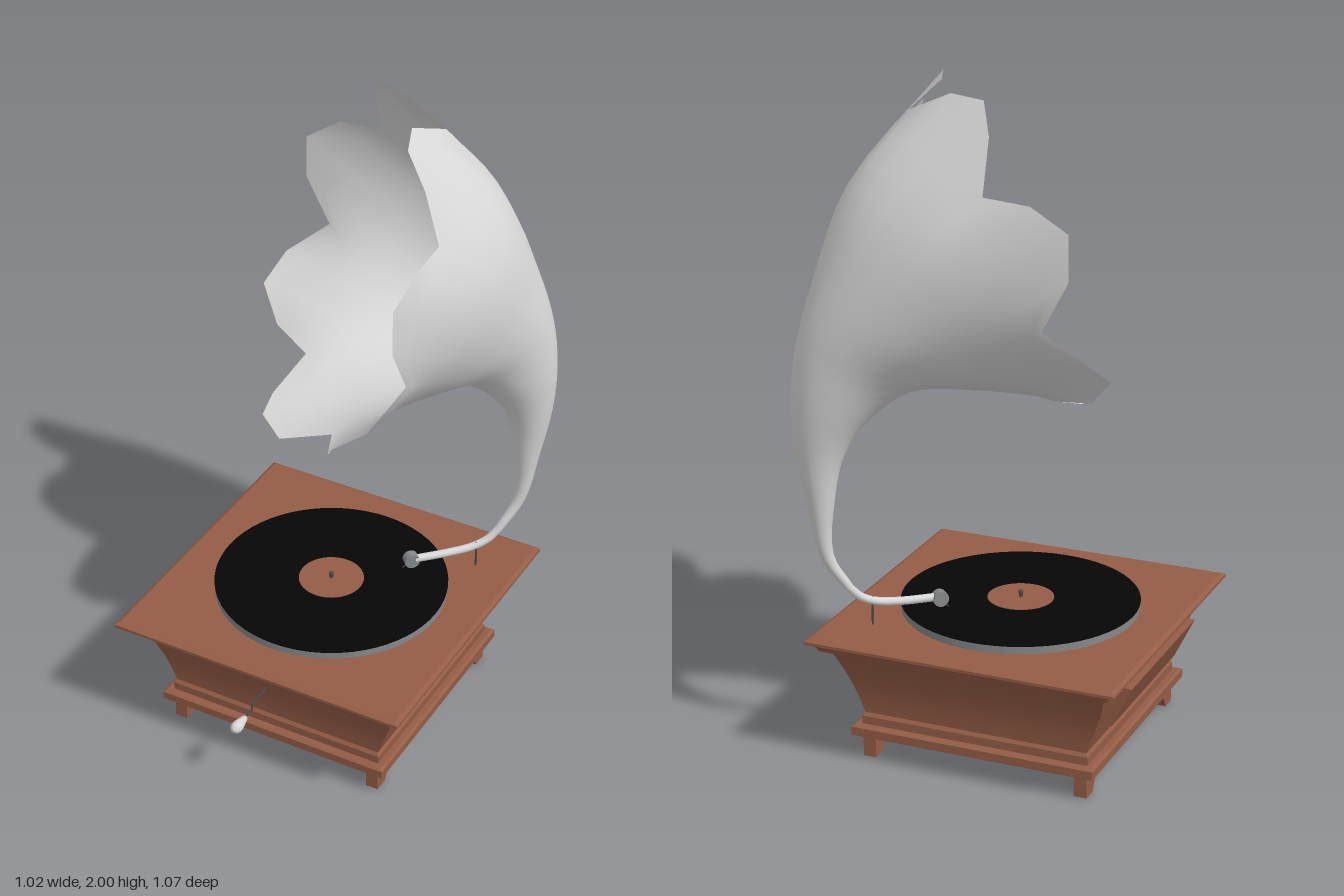
import * as THREE from 'three';
import { toCreasedNormals } from 'three/addons/utils/BufferGeometryUtils.js';

const paint = (name, color, side = THREE.FrontSide) => {
  const m = new THREE.MeshStandardMaterial({ color, side });
  m.name = name;
  return m;
};
const V = (x, y, z) => new THREE.Vector3(x, y, z);

// Skin over rings of equal point count, ordered counter-clockwise seen from above
function loft(rings, capped) {
  const n = rings[0].length, top = (rings.length - 1) * n, index = [];
  for (let i = 0; i < rings.length - 1; i++) {
    for (let j = 0; j < n; j++) {
      const a = i * n + j, b = i * n + (j + 1) % n;
      index.push(a, b, b + n, a, b + n, a + n);
    }
  }
  if (capped) {
    for (let j = 1; j < n - 1; j++) index.push(top, top + j, top + j + 1, 0, j + 1, j);
  }
  const g = new THREE.BufferGeometry().setFromPoints(rings.flat());
  g.setIndex(index);
  g.computeVertexNormals();
  return g;
}

// Rectangular moulding from a profile of [y, half width, half depth]
const CX = -0.03, CZ = -0.035;
function moulding(profile) {
  const corners = [[1, 1], [1, -1], [-1, -1], [-1, 1]];
  const rings = profile.map(([y, hx, hz = hx]) =>
    corners.map(([sx, sz]) => V(CX + sx * hx, y, CZ + sz * hz)));
  return toCreasedNormals(loft(rings, true), 0.5);
}

function prism(points, depth) {
  const shape = new THREE.Shape(points.map(([x, y]) => new THREE.Vector2(x, y)));
  return new THREE.ExtrudeGeometry(shape, { depth, bevelEnabled: false });
}

// Horn flare: u runs along the horn's diagonal, t across it
const hornPoint = (u, y, t) => V(0.41 + 0.707 * (t - u), y, -0.43 + 0.707 * (t + u));

function hornGeometry() {
  const N = 28, STEPS = 32;
  // back u, back y, inner u, inner y, half width, sideways shift
  const sections = [
    [0.053, 0.523, 0.075, 0.537, 0.013, 0],
    [-0.018, 0.63, 0.017, 0.645, 0.018, 0],
    [-0.055, 0.79, 0.024, 0.82, 0.041, 0],
    [-0.088, 0.97, 0.053, 0.95, 0.071, 0],
    [-0.095, 1.13, 0.115, 1.045, 0.108, -0.005],
    [-0.077, 1.28, 0.25, 1.13, 0.158, -0.012],
    [-0.02, 1.47, 0.42, 1.12, 0.245, -0.025],
    [0.1, 1.74, 0.59, 1.085, 0.36, -0.035],
  ];
  // One half of the petalled lip, from the top notch to the lowest petal
  const lip = [
    [0.21, 1.94, -0.26], [0.075, 2, -0.28], [-0.045, 2, -0.33], [-0.095, 1.92, -0.41],
    [-0.095, 1.765, -0.455], [-0.235, 1.755, -0.46], [-0.34, 1.685, -0.445], [-0.34, 1.55, -0.445],
    [-0.265, 1.405, -0.45], [-0.385, 1.305, -0.395], [-0.41, 1.235, -0.3], [-0.33, 1.145, -0.24],
    [-0.197, 1.115, -0.18], [-0.22, 1.06, -0.02], [-0.19, 1.06, 0.09],
  ];
  const lines = [];
  for (let k = 0; k < N; k++) {
    const a = (2 * Math.PI * k) / N;
    const pts = sections.map(([bu, by, iu, iy, w, shift]) => hornPoint(
      (bu + iu) / 2 + (bu - iu) / 2 * Math.cos(a),
      (by + iy) / 2 + (by - iy) / 2 * Math.cos(a),
      shift - w * Math.sin(a)));
    const [x, y, z] = lip[k <= 14 ? k : N - k];
    pts.push(k <= 14 ? V(x, y, z) : V(-z - 0.105, y, -x - 0.045));
    lines.push(new THREE.CatmullRomCurve3(pts));
  }
  const rings = [];
  for (let i = 0; i <= STEPS; i++) rings.push(lines.map((l) => l.getPoint(i / STEPS)));
  return loft(rings, false);
}

export function createModel() {
  const root = new THREE.Group();
  root.name = 'hornRecordPlayer';
  const wood = paint('brown wood', 0x945d46);
  const metal = paint('light metal', 0xd8d8d8);
  const hornMetal = paint('horn metal', 0xdadada, THREE.DoubleSide);
  const grey = paint('platter grey', 0x85888a);
  const dark = paint('dark metal', 0x4a4a4a);
  const black = paint('record black', 0x060606);
  const add = (name, geo, mat, x = 0, y = 0, z = 0, parent = root) => {
    const m = new THREE.Mesh(geo, mat);
    m.name = name;
    m.position.set(x, y, z);
    parent.add(m);
    return m;
  };
  const rod = (a, b, r) => new THREE.TubeGeometry(new THREE.LineCurve3(a, b), 1, r, 8);

  // Cabinet
  add('plinth', moulding([[0.07, 0.375], [0.075, 0.383], [0.1, 0.383], [0.105, 0.375]]), wood);
  add('lowerBand', moulding([[0.105, 0.358], [0.13, 0.358], [0.14, 0.35]]), wood);
  add('body', moulding([[0.14, 0.352, 0.35], [0.18, 0.366, 0.353], [0.23, 0.385, 0.362],
    [0.28, 0.405, 0.377], [0.325, 0.42, 0.4], [0.365, 0.436, 0.428]]), wood);
  add('lid', moulding([[0.36, 0.45], [0.372, 0.455], [0.384, 0.468], [0.388, 0.482],
    [0.397, 0.482], [0.404, 0.47]]), wood);
  add('sidePanel', prism([[-0.488, 0.325], [-0.445, 0.325], [-0.385, 0.195], [-0.425, 0.195]], 0.54),
    wood, 0, 0, CZ - 0.27);

  // Tapered feet at the four corners
  for (const sx of [-1, 1]) {
    for (const sz of [-1, 1]) {
      const g = prism([[0.357, 0], [0.357, 0.07], [0.27, 0.07], [0.31, 0]].map(([z, y]) => [z * sz, y]), 0.04);
      g.translate(0, 0, -0.02).rotateY(-Math.PI / 2);
      add('foot', g, wood, CX + sx * 0.336, 0, CZ);
    }
  }

  // Turntable
  const disc = (name, r, y0, y1, mat, seg = 64) =>
    add(name, new THREE.CylinderGeometry(r, r, y1 - y0, seg), mat, CX, (y0 + y1) / 2, CZ);
  disc('platter', 0.358, 0.404, 0.427, grey);
  disc('record', 0.359, 0.427, 0.43, black);
  disc('recordLabel', 0.1, 0.43, 0.432, wood);
  disc('spindle', 0.006, 0.43, 0.446, dark, 10);
  add('spindleTip', new THREE.SphereGeometry(0.008, 12, 8), dark, CX, 0.446, CZ);

  // Crank
  const crank = new THREE.Group();
  crank.name = 'crank';
  root.add(crank);
  const c = [V(-0.05, 0.255, 0.32), V(-0.05, 0.255, 0.42), V(-0.05, 0.232, 0.42), V(-0.05, 0.232, 0.47)];
  for (let i = 0; i < 3; i++) add('crankRod', rod(c[i], c[i + 1], 0.0025), dark, 0, 0, 0, crank);
  const grip = new THREE.LatheGeometry([[0, 0], [0.009, 0.001], [0.012, 0.015], [0.018, 0.04],
    [0.018, 0.055], [0.012, 0.066], [0, 0.07]].map(([r, h]) => new THREE.Vector2(r, h)), 20);
  grip.rotateX(Math.PI / 2);
  add('crankGrip', grip, metal, -0.05, 0.232, 0.46, crank);

  // Tone arm with sound box, needle and support post
  const armPath = new THREE.CatmullRomCurve3([V(0.17, 0.463, -0.205), V(0.25, 0.467, -0.28),
    V(0.305, 0.477, -0.33), V(0.342, 0.499, -0.363), V(0.366, 0.533, -0.386)]);
  add('toneArm', new THREE.TubeGeometry(armPath, 28, 0.0125, 12), metal);
  const box = new THREE.CylinderGeometry(0.024, 0.024, 0.028, 20);
  box.rotateZ(Math.PI / 2).rotateY(-Math.PI / 4);
  add('soundBox', box, grey, 0.16, 0.46, -0.2);
  add('needle', rod(V(0.155, 0.45, -0.195), V(0.138, 0.43, -0.185), 0.002), dark);
  add('armPost', rod(V(0.315, 0.4, -0.337), V(0.315, 0.495, -0.337), 0.0035), dark);

  add('horn', hornGeometry(), hornMetal);
  return root;
}
